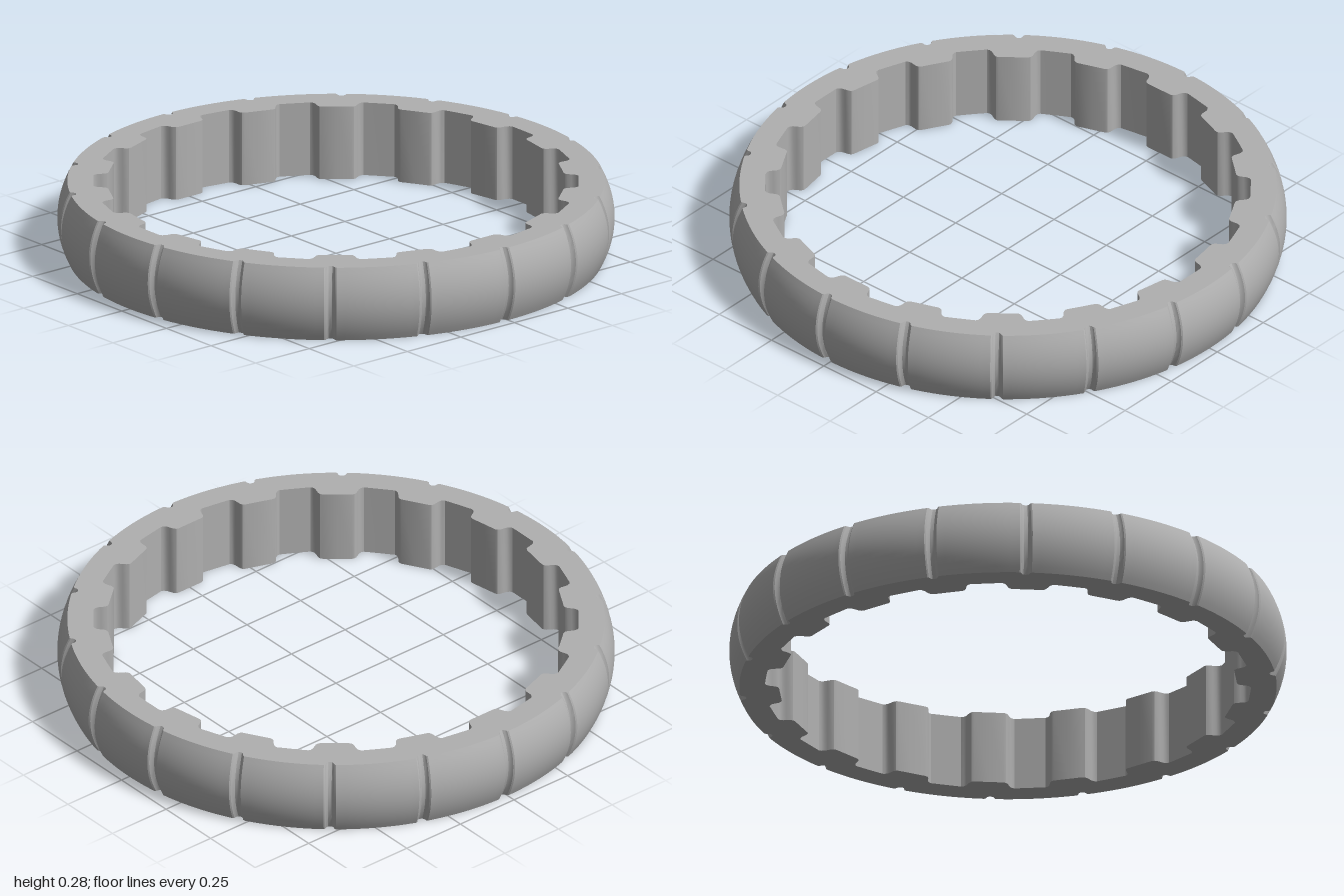
import * as THREE from 'three';
import { toCreasedNormals } from 'three/addons/utils/BufferGeometryUtils.js';

const COUNT = 18;          // grooves and teeth around the ring
const STEP = 360 / COUNT;
const HEIGHT = 0.275;

// Repeat [degrees, radius] pairs around the ring
function repeat(period, offset = 0) {
  const out = [];
  for (let k = 0; k < COUNT; k++) {
    for (const [deg, r] of period) {
      out.push([THREE.MathUtils.degToRad(deg + offset + k * STEP), r]);
    }
  }
  return out;
}

// Closed wall: one loop of points per height, scaled in by inset(y)
function wall(loop, heights, inset, facesOut) {
  const pos = [], index = [], n = loop.length;
  for (const y of heights) {
    for (const [a, r] of loop) {
      const rr = r - inset(y);
      pos.push(rr * Math.sin(a), y, rr * Math.cos(a));
    }
  }
  for (let j = 0; j < heights.length - 1; j++) {
    for (let i = 0; i < n; i++) {
      const a = j * n + i, b = j * n + (i + 1) % n, c = a + n, d = b + n;
      if (facesOut) index.push(a, b, d, a, d, c);
      else index.push(a, d, b, a, c, d);
    }
  }
  const g = new THREE.BufferGeometry();
  g.setAttribute('position', new THREE.Float32BufferAttribute(pos, 3));
  g.setIndex(index);
  return toCreasedNormals(g, 0.5);
}

// Flat annular face between the outer and inner outlines
function face(outer, inner, inset, top) {
  const s = top ? -1 : 1;
  const points = (loop, d) =>
    loop.map(([a, r]) => new THREE.Vector2((r - d) * Math.sin(a), s * (r - d) * Math.cos(a)));
  const shape = new THREE.Shape(points(outer, inset));
  shape.holes.push(new THREE.Path(points(inner, 0)));
  const g = new THREE.ShapeGeometry(shape);
  g.rotateX(s * Math.PI / 2);
  if (top) g.translate(0, HEIGHT, 0);
  return g;
}

export function createModel() {
  const group = new THREE.Group();
  group.name = 'ring';
  const grey = new THREE.MeshStandardMaterial({ color: 0xb0b0b0 });
  grey.name = 'plain grey';

  // Outer outline: a narrow rounded groove in every period
  const groove = [[-1.3, 1], [-1.0, 0.996], [-0.75, 0.986], [-0.4, 0.981], [0, 0.98],
    [0.4, 0.981], [0.75, 0.986], [1.0, 0.996], [1.3, 1]];
  for (let i = 1; i < 10; i++) groove.push([1.3 + i * (STEP - 2.6) / 10, 1]);
  const outer = repeat(groove, -1);

  // Inner outline: flat tooth, rounded flank and flat gap, mirrored
  const half = [[3.7, 0.8215], [4.3, 0.825], [4.75, 0.834], [5.0, 0.847],
    [5.25, 0.859], [5.7, 0.868], [6.3, 0.8725]];
  const mirrored = half.map(([d, r]) => [STEP - d, r]).reverse();
  const inner = repeat([[0, 0.82], ...half, [10, 0.871], ...mirrored]);

  // Bulging outer side, widest at mid-height
  const bulge = (y) => 0.036 * (2 * y / HEIGHT - 1) ** 2;
  const rows = Array.from({ length: 15 }, (_, i) => HEIGHT * i / 14);

  const add = (name, geometry) => {
    const mesh = new THREE.Mesh(geometry, grey);
    mesh.name = name;
    group.add(mesh);
  };
  add('groovedOuterWall', wall(outer, rows, bulge, true));
  add('toothedInnerWall', wall(inner, [0, HEIGHT], () => 0, false));
  add('topFace', face(outer, inner, bulge(HEIGHT), true));
  add('bottomFace', face(outer, inner, bulge(0), false));
  return group;
}
